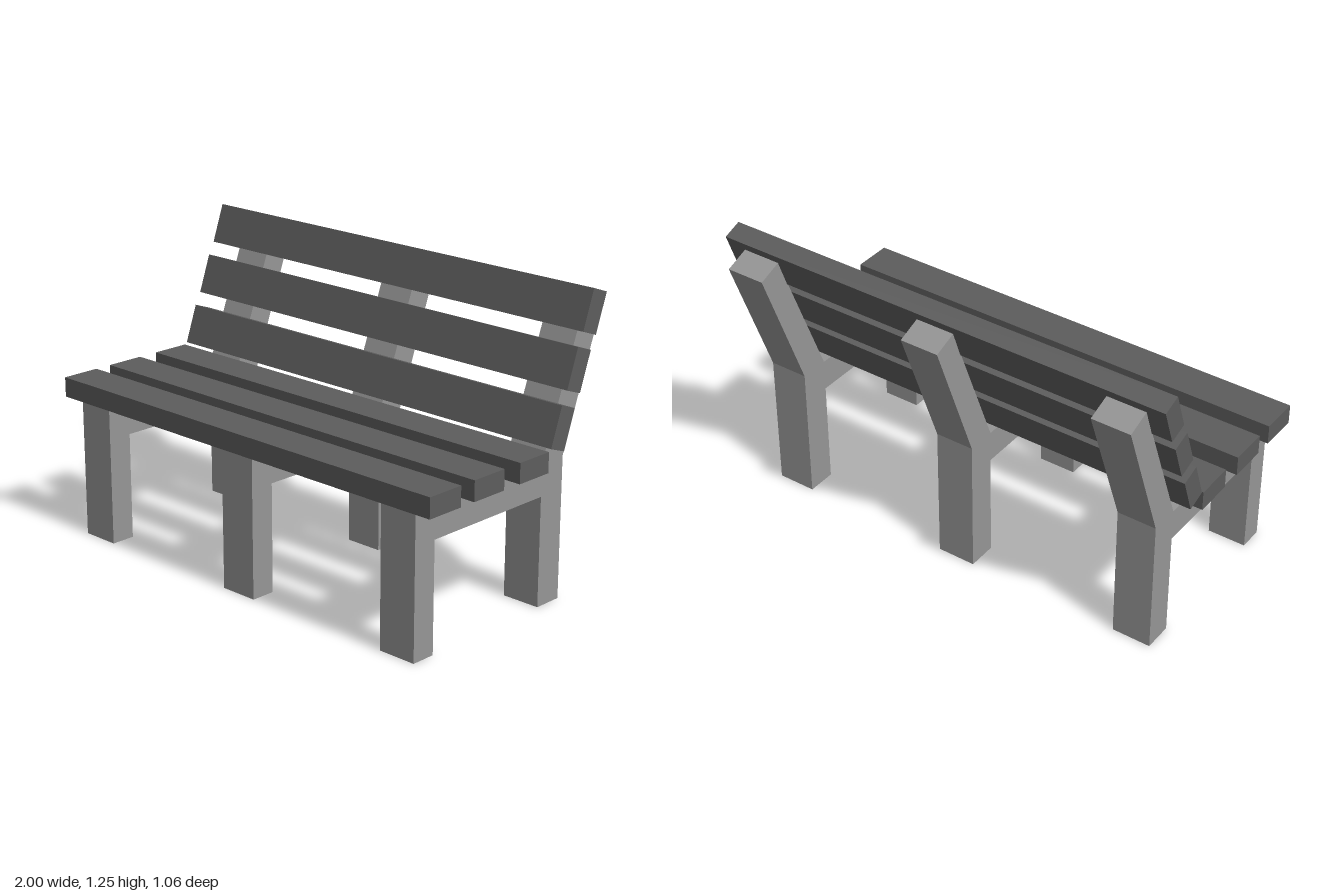
import * as THREE from 'three';

const WIDTH = 0.166;      // plank width, also frame thickness
const THICKNESS = 0.083;  // plank thickness
const LENGTH = 2;

export function createModel() {
  const bench = new THREE.Group();
  bench.name = 'bench';
  const frameMaterial = new THREE.MeshStandardMaterial({ color: 0x969696, flatShading: true });
  const slatMaterial = new THREE.MeshStandardMaterial({ color: 0x5d5d5d, flatShading: true });

  // Support frame: side profile as [z, y], legs, seat rail and leaning back post in one piece
  const profile = [
    [0.51, 0], [0.51, 0.586], [-0.198, 0.586], [-0.43, 1.186], [-0.53, 1.148],
    [-0.322, 0.586], [-0.322, 0], [-0.198, 0], [-0.198, 0.452], [0.406, 0.452], [0.406, 0],
  ];
  const shape = new THREE.Shape(profile.map(([z, y]) => new THREE.Vector2(z, y)));
  const frameGeometry = new THREE.ExtrudeGeometry(shape, { depth: WIDTH, bevelEnabled: false });
  frameGeometry.translate(0, 0, -WIDTH / 2).rotateY(-Math.PI / 2);
  [['right', -0.833], ['middle', 0], ['left', 0.833]].forEach(([side, x]) => {
    const frame = new THREE.Mesh(frameGeometry, frameMaterial);
    frame.name = `${side}Frame`;
    frame.position.x = x;
    bench.add(frame);
  });

  const slatGeometry = new THREE.BoxGeometry(LENGTH, THICKNESS, WIDTH);
  const addSlat = (name, y, z, tilt) => {
    const slat = new THREE.Mesh(slatGeometry, slatMaterial);
    slat.name = name;
    slat.position.set(0, y, z);
    slat.rotation.x = tilt;
    bench.add(slat);
  };

  // Seat planks, front to back
  [0.447, 0.208, -0.047].forEach((z, i) => {
    addSlat(`seatSlat${i + 1}`, 0.586 + THICKNESS / 2, z, 0);
  });

  // Backrest planks, bottom to top
  const backTilt = Math.PI / 2 - THREE.MathUtils.degToRad(19.8);
  for (let i = 0; i < 3; i++) {
    addSlat(`backSlat${i + 1}`, 0.741 + i * 0.208, -0.209 - i * 0.0835, backTilt);
  }
  return bench;
}
